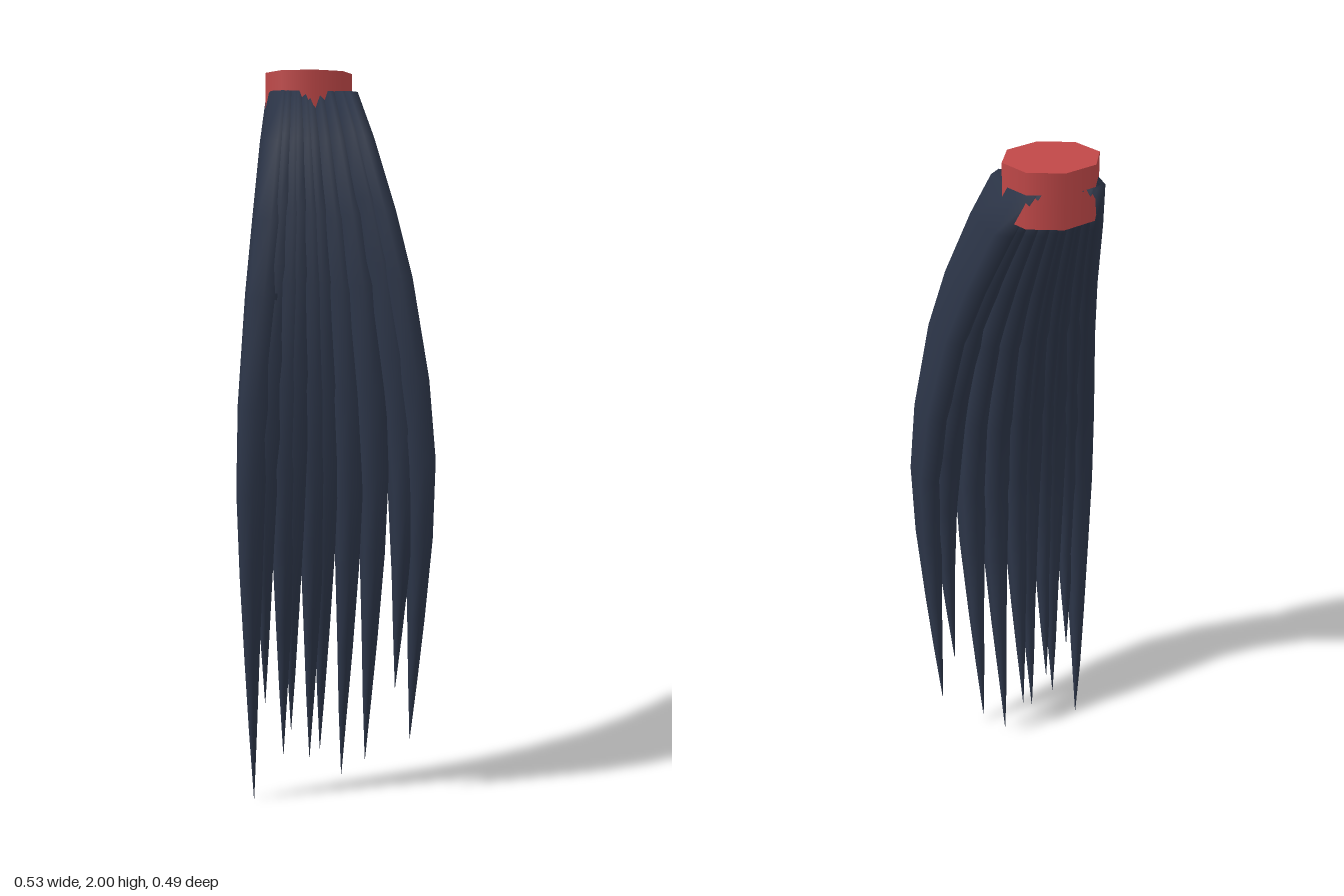
import * as THREE from 'three';

const hairMat = new THREE.MeshStandardMaterial({ color: 0x2c3548 });
hairMat.name = 'dark blue hair';
const bandMat = new THREE.MeshStandardMaterial({ color: 0xc04848 });
bandMat.name = 'red band';

const ROOT_Y = 1.945;

// Rows are [height, inner strand z, outer strand z, sideways spread]
const SWEEP = [
  [1.945, -0.138, -0.138, 0], [1.8, -0.072, -0.055, 0.23], [1.6, 0.023, 0.05, 0.49],
  [1.4, 0.088, 0.122, 0.74], [1.1, 0.135, 0.175, 1], [0.9, 0.142, 0.188, 1.09],
  [0.66, 0.13, 0.178, 1.09], [0.4, 0.1, 0.15, 1.06], [0.2, 0.064, 0.13, 1.03], [0, 0.045, 0.118, 1],
];

// Rows are [fraction along the strand, half width, half depth]
const TAPER = [
  [0, 0.031, 0.097], [0.07, 0.034, 0.098], [0.18, 0.037, 0.093], [0.28, 0.038, 0.08],
  [0.43, 0.038, 0.067], [0.55, 0.035, 0.058], [0.67, 0.028, 0.047], [0.8, 0.018, 0.03],
  [0.9, 0.01, 0.016], [1, 0.0005, 0.0005],
];

// Six-sided cross-section, pointed at the front and back
const SECTION = [[0, 1], [1, 0.72], [1, -0.72], [0, -1], [-1, -0.72], [-1, 0.72]];

// Linear lookup in the sweep table, which runs from high to low
function sweep(y, column) {
  const i = Math.max(1, SWEEP.findIndex((row) => y >= row[0]));
  const a = SWEEP[i - 1], b = SWEEP[i];
  return THREE.MathUtils.mapLinear(y, a[0], b[0], a[column], b[column]);
}

// One curved lock, lofted from root to pointed tip
function strandGeometry(tipX, tipY) {
  const u = tipX / 0.22, bow = Math.abs(u) * (0.95 + 0.07 * u);
  const rootX = -0.03 + 0.085 * u;
  const twist = 0.015 * Math.max(u, 0);
  const n = SECTION.length, positions = [], indices = [];
  TAPER.forEach(([t, halfWidth, halfDepth], ring) => {
    const y = THREE.MathUtils.lerp(ROOT_Y, tipY, t);
    const x = THREE.MathUtils.lerp(rootX, tipX, sweep(y, 3));
    const z = THREE.MathUtils.lerp(sweep(y, 1), sweep(y, 2), bow);
    const depth = halfDepth * THREE.MathUtils.lerp(0.93, 1, bow);
    SECTION.forEach(([sx, sz], k) => {
      positions.push(x + sx * halfWidth + sz * twist * (1 - t), y, z + sz * depth);
      if (ring === 0) return;
      const a = (ring - 1) * n + k, b = (ring - 1) * n + (k + 1) % n;
      indices.push(a, a + n, b, b, a + n, b + n);
    });
  });
  // Root cap
  for (let k = 1; k < n - 1; k++) indices.push(0, k, k + 1);
  const geometry = new THREE.BufferGeometry();
  geometry.setAttribute('position', new THREE.Float32BufferAttribute(positions, 3));
  geometry.setIndex(indices);
  geometry.computeVertexNormals();
  return geometry;
}

export function createModel() {
  const model = new THREE.Group();
  model.name = 'ponytail';

  // Hair locks, ordered from the model's right to its left
  const hair = new THREE.Group();
  hair.name = 'hair';
  const tips = [
    [-0.22, 0], [-0.185, 0.28], [-0.135, 0.12], [-0.113, 0.19], [-0.06, 0.1],
    [-0.03, 0.12], [0.032, 0.04], [0.095, 0.09], [0.167, 0.31], [0.212, 0.16],
  ];
  tips.forEach(([x, y], i) => {
    const strand = new THREE.Mesh(strandGeometry(x, y), hairMat);
    strand.name = `strand${i + 1}`;
    hair.add(strand);
  });
  model.add(hair);

  // Octagonal hair band
  const band = new THREE.Mesh(new THREE.CylinderGeometry(1, 1, 0.14, 8), bandMat);
  band.name = 'hairBand';
  band.scale.set(0.121, 1, 0.107);
  band.position.set(-0.033, 1.93, -0.141);
  model.add(band);

  return model;
}
